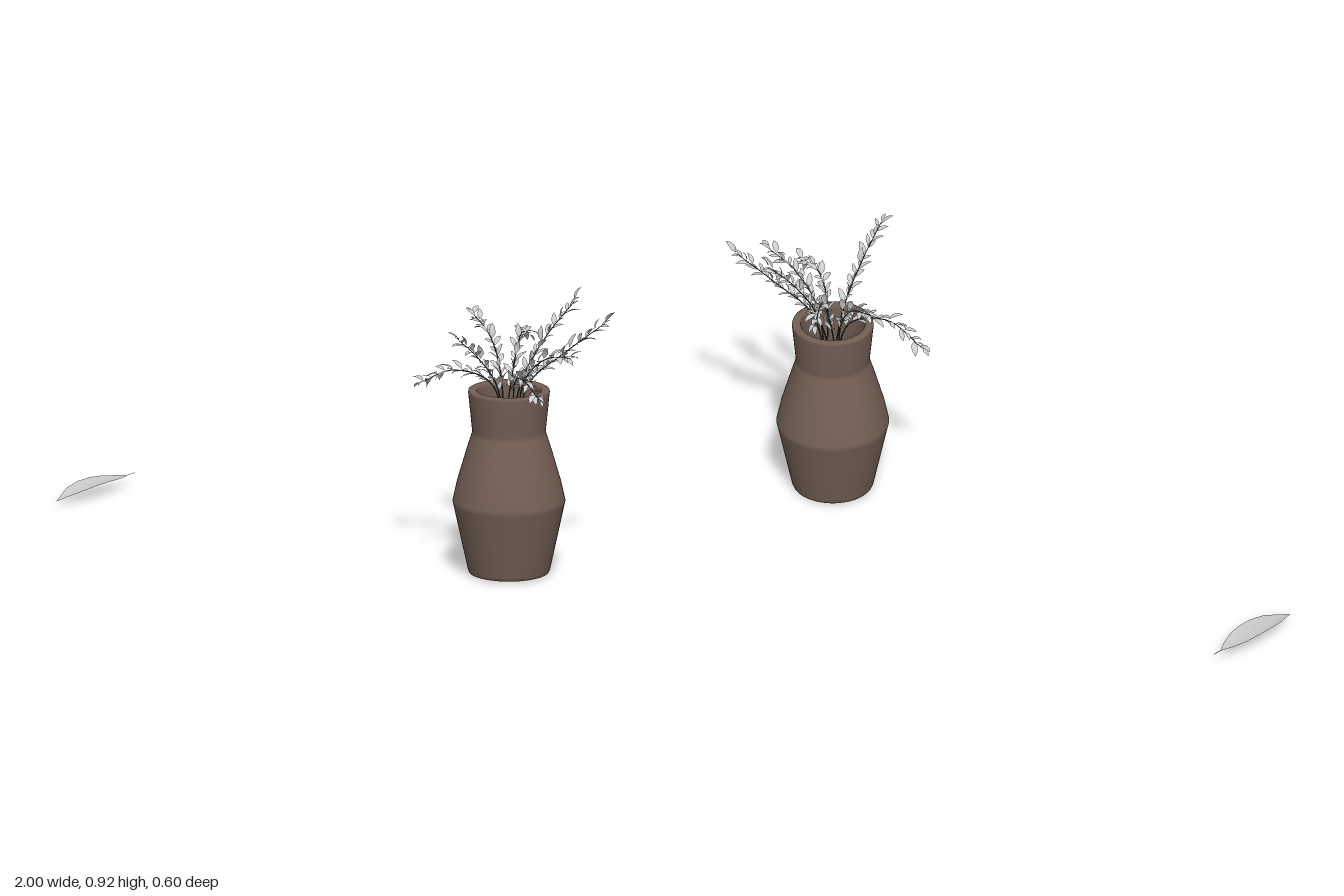
import * as THREE from 'three';
import { mergeGeometries } from 'three/addons/utils/BufferGeometryUtils.js';

const V = (x, y, z) => new THREE.Vector3(x, y, z);
const CENTRE = V(0.675, 0, -0.066);

const clay = new THREE.MeshStandardMaterial({ color: 0x735f54 });
const leafGrey = new THREE.MeshStandardMaterial({ color: 0xcccccc, side: THREE.DoubleSide });
const stemDark = new THREE.MeshStandardMaterial({ color: 0x2f3733 });

// Leaf blade along +z: rows of [position, half width, height], as fractions, folded at the midrib
const BLADE = [[0, 0.02, 0], [0.12, 0.04, 0.35], [0.35, 0.92, 0.8], [0.52, 1, 1], [0.78, 0.72, 0.75], [1, 0.02, 0]];
function leafGeometry(length, width, arch, fold, rows = BLADE) {
  const pos = [], index = [];
  rows.forEach(([t, w, h], i) => {
    for (const s of [-1, 0, 1]) {
      pos.push(s * w * width / 2, h * arch + Math.abs(s) * w * fold, t * length);
    }
    if (i === 0) return;
    const a = (i - 1) * 3, b = i * 3;
    for (let k = 0; k < 2; k++) {
      index.push(a + k, b + k, a + k + 1, a + k + 1, b + k, b + k + 1);
    }
  });
  const g = new THREE.BufferGeometry();
  g.setAttribute('position', new THREE.Float32BufferAttribute(pos, 3));
  g.setIndex(index);
  g.computeVertexNormals();
  return g;
}

// Vase: outer wall, rounded lip, inner wall
function createVase() {
  const profile = [
    [0, 0.004], [0.07, 0.003], [0.075, 0], [0.118, 0.002], [0.128, 0.005], [0.132, 0.014],
    [0.156, 0.125], [0.179, 0.232], [0.181, 0.24], [0.179, 0.25], [0.167, 0.305],
    [0.151, 0.36], [0.135, 0.415], [0.12, 0.462], [0.118, 0.47], [0.119, 0.48],
    [0.126, 0.55], [0.131, 0.6], [0.13, 0.607], [0.126, 0.609],
    [0.108, 0.609], [0.104, 0.606], [0.103, 0.598], [0.098, 0.47], [0.13, 0.37],
    [0.16, 0.24], [0.115, 0.03], [0, 0.025],
  ].map(([r, y]) => new THREE.Vector2(r, y));
  const vase = new THREE.Mesh(new THREE.LatheGeometry(profile, 48), clay);
  vase.name = 'vase';
  vase.position.copy(CENTRE);
  return vase;
}

// Sprig: a thin tapering stem with leaves spiralling around its upper part
function createSprig(points, number) {
  const sprig = new THREE.Group();
  sprig.name = 'sprig' + number;
  const angle = number * 0.8;
  const foot = V(CENTRE.x + Math.cos(angle) * 0.03, 0.3, CENTRE.z + Math.sin(angle) * 0.03);
  const curve = new THREE.CatmullRomCurve3([foot, ...points.map(p => V(...p))]);

  const stemGeo = new THREE.TubeGeometry(curve, 28, 0.0035, 5);
  const p = stemGeo.attributes.position, v = V(0, 0, 0);
  for (let i = 0; i < p.count; i++) {
    const t = Math.floor(i / 6) / 28;
    const c = curve.getPointAt(t);
    v.fromBufferAttribute(p, i).sub(c).multiplyScalar(1 - 0.65 * t).add(c);
    p.setXYZ(i, v.x, v.y, v.z);
  }
  const stem = new THREE.Mesh(stemGeo, stemDark);
  stem.name = 'stem';
  sprig.add(stem);

  const leaves = [], count = 25;
  for (let i = 0; i <= count; i++) {
    const t = 0.5 + 0.5 * i / count;
    const at = curve.getPointAt(t), along = curve.getTangentAt(t);
    const side = V(0, 1, 0).cross(along).normalize();
    const up = along.clone().cross(side);
    const turn = i * 2.4 + number;
    const out = side.multiplyScalar(Math.cos(turn)).addScaledVector(up, Math.sin(turn) * 0.8);
    const dir = along.clone().multiplyScalar(i === count ? 3 : 0.9).addScaledVector(out, 0.75).normalize();
    const across = V(0, 1, 0.3 * Math.sin(i * 1.7)).cross(dir).normalize();
    const normal = dir.clone().cross(across);
    const length = 0.046 + 0.012 * Math.sin(i * 2.9 + number);
    const g = leafGeometry(length, length * 0.36, length * 0.1, length * 0.05);
    leaves.push(g.applyMatrix4(new THREE.Matrix4().makeBasis(across, normal, dir).setPosition(at)));
  }
  const foliage = new THREE.Mesh(mergeGeometries(leaves), leafGrey);
  foliage.name = 'leaves';
  sprig.add(foliage);
  return sprig;
}

// Fallen leaf: one large arched leaf lying on the ground
function createFallenLeaf() {
  const rows = [
    [0, 0.03, 0.85], [0.1, 0.05, 0.8], [0.19, 0.45, 0.82], [0.33, 0.86, 0.92], [0.45, 1, 1],
    [0.6, 1, 0.95], [0.76, 0.82, 0.68], [0.88, 0.42, 0.35], [1, 0.02, 0],
  ];
  const leaf = new THREE.Mesh(leafGeometry(0.37, 0.085, 0.025, 0.007, rows), leafGrey);
  leaf.name = 'fallenLeaf';
  leaf.position.set(-0.957, 0.012, -0.07);
  return leaf;
}

export function createModel() {
  const model = new THREE.Group();
  model.name = 'vaseWithSprigs';
  model.add(createVase(), createFallenLeaf());

  // Each sprig passes the mouth, a middle point and its tip
  const paths = [
    [[0.62, 0.62, -0.045], [0.5, 0.655, 0.005], [0.375, 0.595, 0.025]],
    [[0.62, 0.63, -0.09], [0.53, 0.745, -0.135], [0.415, 0.795, -0.175]],
    [[0.65, 0.63, -0.105], [0.615, 0.76, -0.19], [0.575, 0.735, -0.265]],
    [[0.69, 0.63, -0.11], [0.73, 0.77, -0.18], [0.77, 0.875, -0.27]],
    [[0.73, 0.63, -0.1], [0.83, 0.74, -0.165], [0.935, 0.84, -0.235]],
    [[0.735, 0.64, -0.07], [0.84, 0.74, -0.065], [0.955, 0.765, -0.055]],
    [[0.74, 0.645, -0.02], [0.84, 0.69, 0.045], [0.955, 0.655, 0.095]],
    [[0.69, 0.63, 0.005], [0.705, 0.755, 0.115], [0.72, 0.835, 0.22]],
  ];
  paths.forEach((path, i) => model.add(createSprig(path, i + 1)));
  return model;
}
